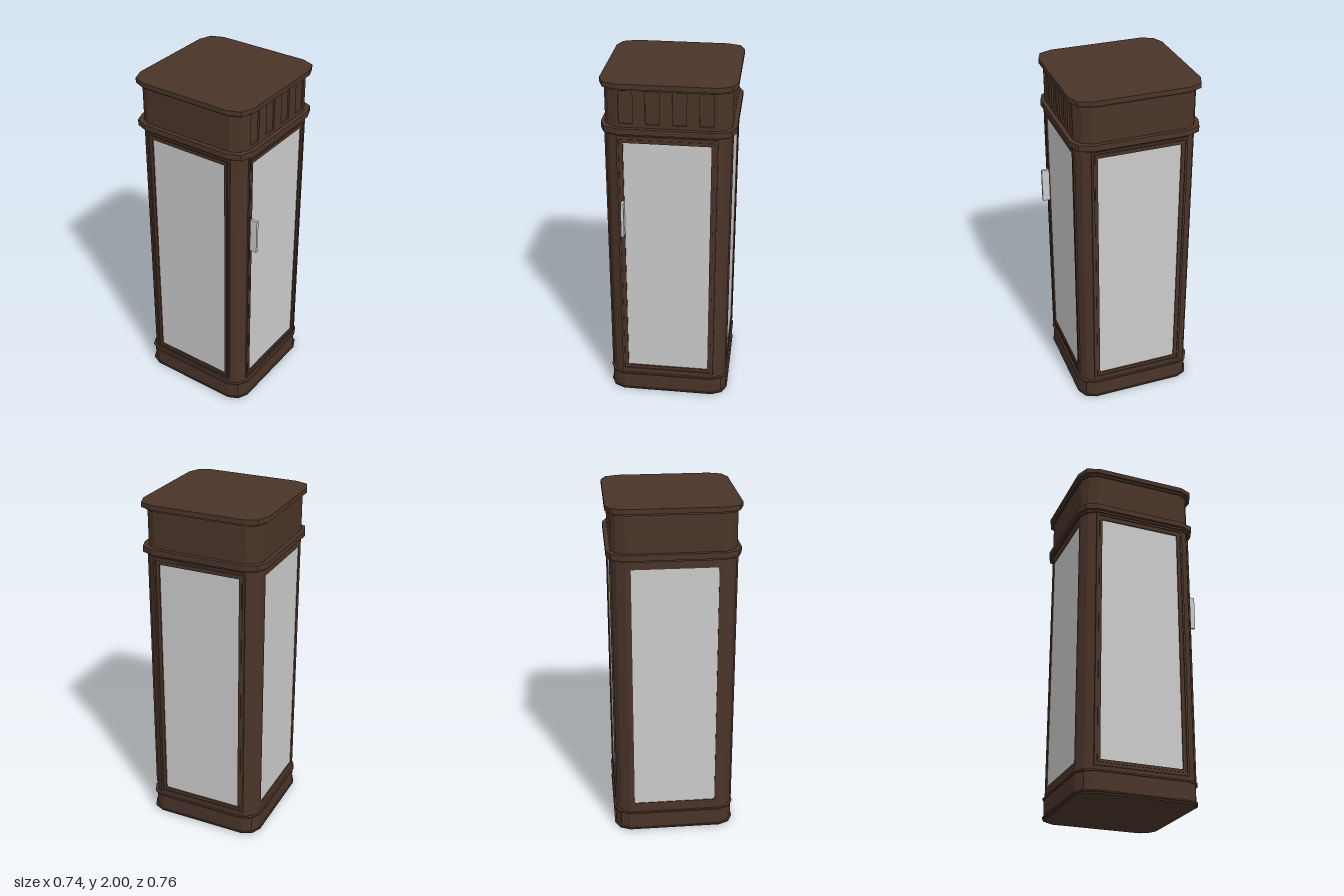
import * as THREE from 'three';

const CZ = -0.01; // the cabinet sits slightly behind centre, the handle reaches forward
const FLAT = 0.27; // half width of the flat part of each side

export function createModel() {
  const model = new THREE.Group();
  const wood = new THREE.MeshStandardMaterial({ color: 0x4a3429, flatShading: true });
  const grey = new THREE.MeshStandardMaterial({ color: 0xcccccc, flatShading: true });

  const add = (parent, name, geometry, material = wood) => {
    const mesh = new THREE.Mesh(geometry, material);
    mesh.name = name;
    parent.add(mesh);
    return mesh;
  };

  // Square with two-facet corners; listed sides (0 right, 1 back, 2 left, 3 front in plan) are sunk by 0.01
  const footprint = (h, sunk = []) => {
    const pts = [];
    for (let i = 0; i < 4; i++) {
      const corner = h - 0.028;
      const side = [[h, -FLAT]];
      if (sunk.includes(i)) side.push([h - 0.01, -FLAT], [h - 0.01, FLAT]);
      side.push([h, FLAT], [corner, corner]);
      const c = [1, 0, -1, 0][i], s = [0, 1, 0, -1][i];
      for (const [x, y] of side) pts.push(new THREE.Vector2(x * c - y * s, x * s + y * c));
    }
    return new THREE.Shape(pts);
  };

  // Horizontal layer of the cabinet between two heights
  const layer = (name, h, y0, y1, sunk) => {
    const g = new THREE.ExtrudeGeometry(footprint(h, sunk), { depth: y1 - y0, bevelEnabled: false });
    g.rotateX(-Math.PI / 2);
    g.translate(0, y0, CZ);
    return add(model, name, g);
  };

  const rect = (Type, x0, x1, y0, y1, r = 0) => {
    const p = new Type();
    p.moveTo(x0 + r, y0);
    p.lineTo(x1 - r, y0);
    if (r) p.lineTo(x1, y0 + r);
    p.lineTo(x1, y1 - r);
    if (r) p.lineTo(x1 - r, y1);
    p.lineTo(x0 + r, y1);
    if (r) p.lineTo(x0, y1 - r);
    p.lineTo(x0, y0 + r);
    p.closePath();
    return p;
  };

  // Upright plate with openings, from z0 to z1
  const plate = (outer, holes, z0, z1) => {
    const shape = rect(THREE.Shape, ...outer);
    shape.holes = holes.map((o) => rect(THREE.Path, ...o));
    return new THREE.ExtrudeGeometry(shape, { depth: z1 - z0, bevelEnabled: false }).translate(0, 0, z0);
  };

  // Plinth and mouldings
  layer('foot', 0.345, 0, 0.008);
  layer('lowerPlinthLip', 0.358, 0.008, 0.016);
  layer('plinth', 0.35, 0.016, 0.117);
  layer('upperPlinthLip', 0.358, 0.117, 0.126);
  layer('cabinetBody', 0.346, 0.126, 1.705, [0, 1, 2, 3]);
  layer('corniceStep', 0.355, 1.705, 1.717);
  layer('cornice', 0.37, 1.717, 1.75);
  layer('frieze', 0.346, 1.75, 1.965, [3]);
  layer('capStep', 0.355, 1.96, 1.972);
  layer('topCap', 0.37, 1.972, 2);

  // Glazed sides; the back one has no raised frame
  const pane = [-0.24, 0.24, 0.185, 1.66];
  ['front', 'left', 'back', 'right'].forEach((name, i) => {
    const side = new THREE.Group();
    side.name = name + 'Side';
    add(side, 'panel', plate([-FLAT, FLAT, 0.126, 1.705], [pane], 0.336, 0.346));
    add(side, 'glass', plate(pane, [], 0.336, 0.342), grey);
    if (name !== 'back') {
      add(side, 'outerFrame', plate([-0.275, 0.275, 0.15, 1.7], [[-0.263, 0.263, 0.162, 1.688]], 0.34, 0.352));
      add(side, 'innerFrame', plate([-0.256, 0.256, 0.169, 1.68], [pane], 0.34, 0.349));
    }
    side.rotation.y = i * Math.PI / 2;
    side.position.z = CZ;
    model.add(side);
  });

  // Four recessed slots in the front of the frieze
  const slots = [-0.222, -0.077, 0.067, 0.212].map((x) => [x - 0.038, x + 0.038, 1.77, 1.955, 0.006]);
  const frieze = add(model, 'friezeSlots', plate([-FLAT, FLAT, 1.75, 1.965], slots, 0.336, 0.346));
  frieze.position.z = CZ;

  // Door handle
  const handle = add(model, 'doorHandle', new THREE.BoxGeometry(0.016, 0.205, 0.042), grey);
  handle.position.set(-0.247, 1.205, 0.359);

  return model;
}
